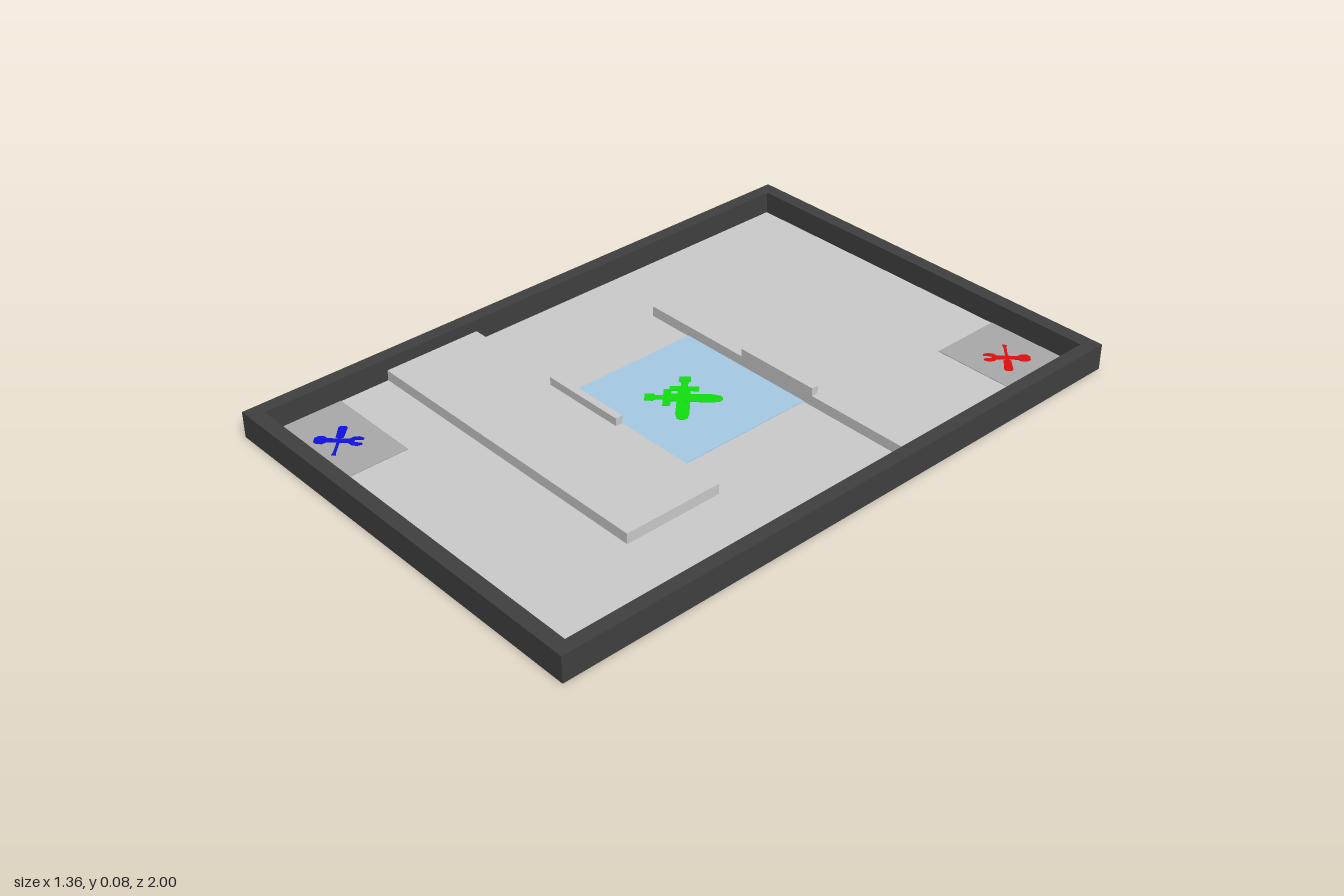
import * as THREE from 'three';

const material = (color) => new THREE.MeshStandardMaterial({ color });
const GREY = material(0xcccccc);
const FLOOR = 0.012;   // top of the floor
const MARK = 0.002;    // thickness of floor markings

function add(parent, name, geometry, mat) {
  const mesh = new THREE.Mesh(geometry, mat);
  mesh.name = name;
  parent.add(mesh);
  return mesh;
}

// Box given by its limits on each axis
function box(parent, name, [x0, x1], [y0, y1], [z0, z1], mat) {
  const mesh = add(parent, name, new THREE.BoxGeometry(x1 - x0, y1 - y0, z1 - z0), mat);
  mesh.position.set((x0 + x1) / 2, (y0 + y1) / 2, (z0 + z1) / 2);
  return mesh;
}

// Outline extruded upwards; outline y points to the back
function slab(shape, depth) {
  return new THREE.ExtrudeGeometry(shape, { depth, bevelEnabled: false, curveSegments: 8 }).rotateX(-Math.PI / 2);
}

// Outline mirrored about its long axis, from the points of its upper half
function mirrored(half) {
  const lower = half.map(([x, y]) => [x, -y]);
  return new THREE.Shape([...lower, ...half.reverse()].map(([x, y]) => new THREE.Vector2(x, y)));
}

function rectangle(x, z, Type) {
  return new Type([[-x, -z], [x, -z], [x, z], [-x, z]].map(([a, b]) => new THREE.Vector2(a, b)));
}

const swordShape = () => mirrored([
  [-0.11, 0.016], [-0.085, 0.018], [-0.08, 0.01], [-0.058, 0.01], [-0.058, 0.042],
  [-0.036, 0.042], [-0.036, 0.018], [0.08, 0.02], [0.104, 0.014], [0.11, 0.004]]);

const screwdriverShape = () => mirrored([
  [-0.07, 0.007], [-0.055, 0.004], [0.012, 0.004], [0.016, 0.011], [0.064, 0.013], [0.07, 0.008]]);

const wrenchShape = () => mirrored([
  [-0.044, 0.006], [-0.066, 0.008], [-0.068, 0.015], [-0.054, 0.022], [-0.038, 0.019],
  [-0.028, 0.009], [0.032, 0.009], [0.042, 0.018], [0.058, 0.018], [0.068, 0.009]]);

// One half of the arena: raised platform, barrier on its edge, base with tool emblem
function arenaHalf(name, color) {
  const half = new THREE.Group();
  half.name = name;
  box(half, 'platform', [-0.638, 0.396], [FLOOR, 0.045], [0.238, 0.555], GREY);
  box(half, 'barrier', [-0.268, 0.014], [0.045, 0.07], [0.238, 0.261], GREY);
  box(half, 'basePad', [-0.638, -0.318], [FLOOR, FLOOR + MARK], [0.716, 0.955], material(0xaaaaaa));
  const emblem = new THREE.Group();
  emblem.name = 'toolEmblem';
  emblem.position.set(-0.476, FLOOR + MARK, 0.833);
  const mat = material(color);
  // the wrench jaw points to the back right, the screwdriver handle to the back left
  add(emblem, 'wrench', slab(wrenchShape(), MARK), mat).rotation.y = -Math.PI * 0.75;
  add(emblem, 'screwdriver', slab(screwdriverShape(), MARK * 0.8), mat).rotation.y = Math.PI * 0.75;
  half.add(emblem);
  return half;
}

export function createModel() {
  const model = new THREE.Group();
  model.name = 'arena';

  // Floor and surrounding wall
  box(model, 'floor', [-0.679, 0.679], [0, FLOOR], [-0.999, 0.999], GREY);
  const frame = rectangle(0.68, 1, THREE.Shape);
  frame.holes.push(rectangle(0.638, 0.955, THREE.Path));
  add(model, 'wall', slab(frame, 0.082), material(0x404040)).position.y = 0.001;

  // Central zone with crossed swords
  box(model, 'centreZone', [-0.238, 0.238], [FLOOR, FLOOR + MARK], [-0.238, 0.238], material(0xa6cce6));
  const swords = new THREE.Group();
  swords.name = 'crossedSwords';
  swords.position.y = FLOOR + MARK;
  const green = material(0x10e010);
  [1, -1].forEach((side, i) => {
    add(swords, 'sword', slab(swordShape(), MARK * (1 - 0.2 * i)), green).rotation.y = side * Math.PI / 4;
  });
  model.add(swords);

  // Two halves, one turned half a circle
  const back = arenaHalf('backHalf', 0xe01010);
  back.rotation.y = Math.PI;
  model.add(arenaHalf('frontHalf', 0x1010e0), back);
  return model;
}
